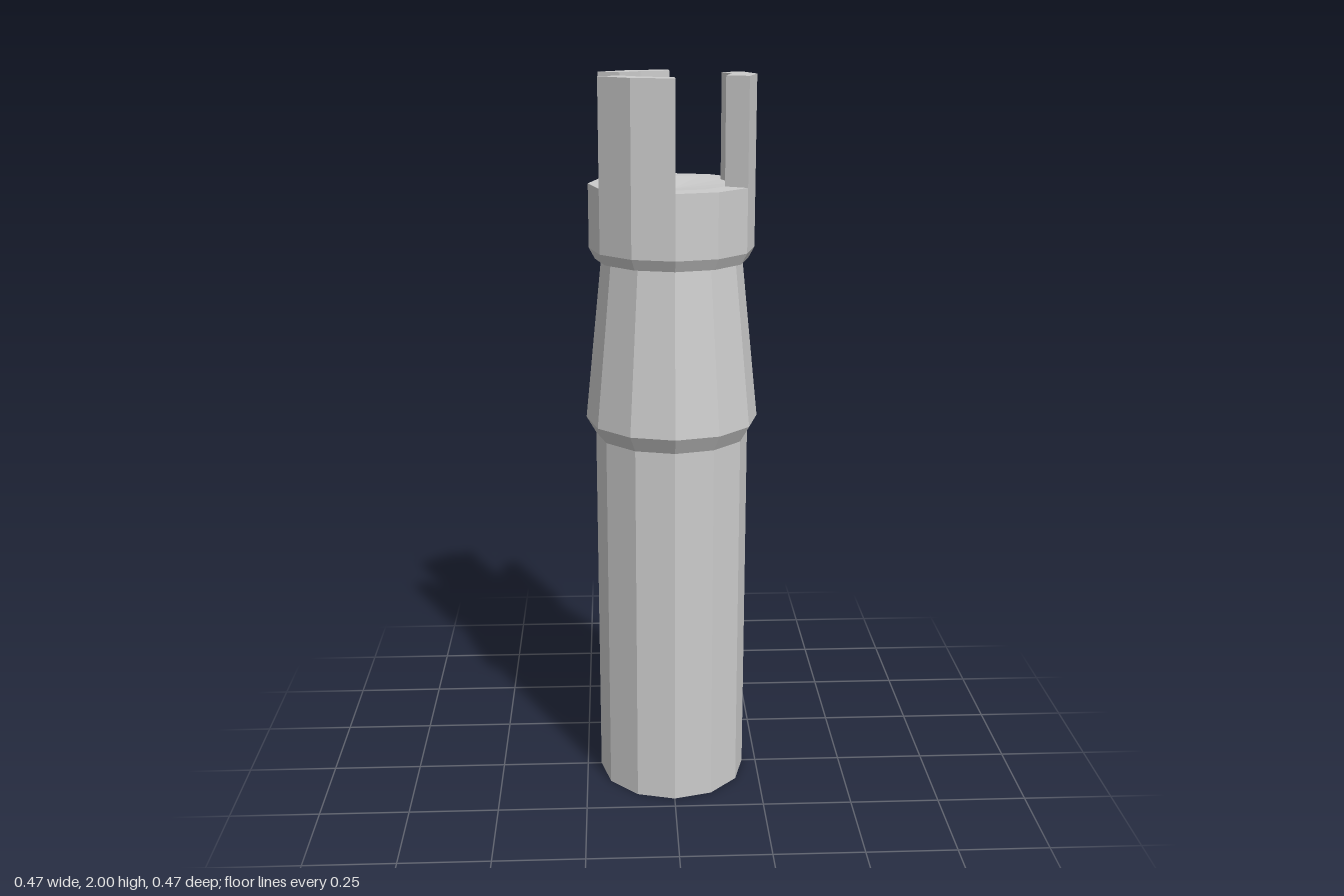
import * as THREE from 'three';

const SIDES = 12;
const INNER = 0.156, OUTER = 0.222, RIM = 1.72, TOP = 2;

export function createModel() {
  const group = new THREE.Group();
  const material = new THREE.MeshStandardMaterial({ color: 0xcccccc, flatShading: true });

  const add = (name, geometry) => {
    const mesh = new THREE.Mesh(geometry, material);
    mesh.name = name;
    group.add(mesh);
  };
  // Faceted solid of revolution from [radius, height] pairs, bottom to top
  const turned = (profile) =>
    new THREE.LatheGeometry(profile.map(([r, y]) => new THREE.Vector2(r, y)), SIDES);

  // Straight grip
  add('grip', turned([[0, 0], [0.21, 0], [0.21, 1.035]]));

  // Flared shoulder tapering up to the neck
  add('neck', turned([[0.21, 1.035], [0.236, 1.08], [0.19, 1.52]]));

  // Collar with a bevelled lower edge and a shallow dished top
  add('collar', turned([
    [0.19, 1.52], [0.206, 1.52], [OUTER, 1.55], [OUTER, RIM], [INNER, RIM], [0, RIM - 0.015],
  ]));

  // Three prongs, each spanning two facets of the collar
  const arc = (radius) => [-1, 0, 1].map((i) => {
    const a = (i * Math.PI * 2) / SIDES;
    return new THREE.Vector2(radius * Math.cos(a), radius * Math.sin(a));
  });
  const section = new THREE.Shape([...arc(OUTER), ...arc(INNER).reverse()]);
  for (let i = 0; i < 3; i++) {
    const prong = new THREE.ExtrudeGeometry(section, { depth: TOP - RIM, bevelEnabled: false });
    prong.rotateX(-Math.PI / 2);
    prong.rotateY((i * Math.PI * 2) / 3);
    prong.translate(0, RIM, 0);
    add(`prong${i + 1}`, prong);
  }

  return group;
}
